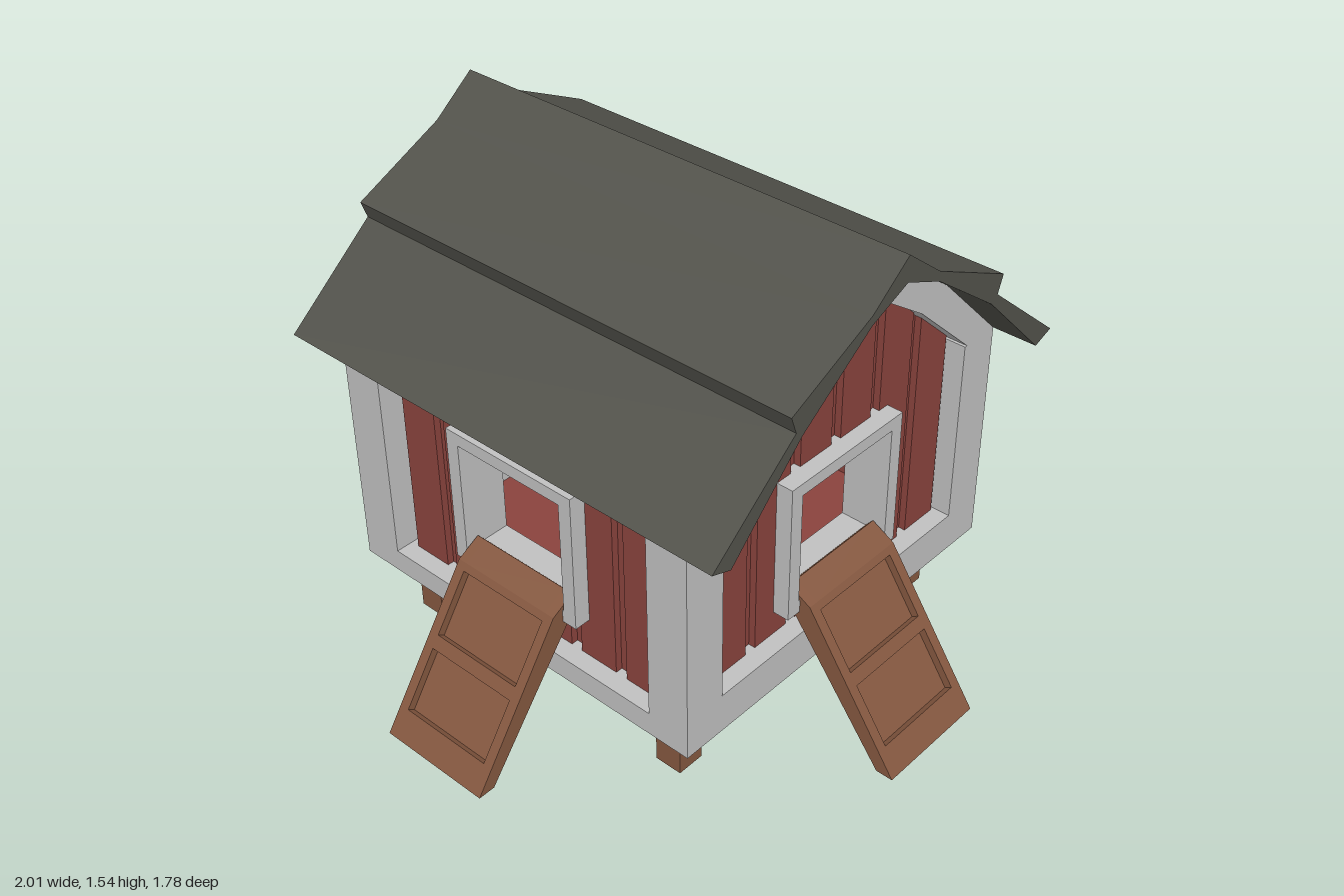
import * as THREE from 'three';

const flat = (name, color) => {
  const m = new THREE.MeshStandardMaterial({ color });
  m.name = name;
  return m;
};
const trimGrey = flat('trim grey', 0xc0c0c0);
const barnRed = flat('barn red', 0x8a433d);
const roofGrey = flat('roof grey', 0x52524b);
const rampBrown = flat('ramp brown', 0x855840);

const path = (pts, Type = THREE.Shape) => new Type(pts.map(p => new THREE.Vector2(p[0], p[1])));
const rect = (hw, y0, y1) => [[-hw, y0], [hw, y0], [hw, y1], [-hw, y1]];
// right half of an outline, bottom to top, mirrored into a closed loop
const mirrored = half => [...half, ...half.filter(p => p[0] > 0).reverse().map(([x, y]) => [-x, y])];

function add(parent, geometry, material, name) {
  const mesh = new THREE.Mesh(geometry, material);
  mesh.name = name;
  parent.add(mesh);
  return mesh;
}

// extruded outline with optional hole, spanning z0..z1
function slab(parent, name, material, outline, hole, z0, z1) {
  const shape = path(outline);
  if (hole) shape.holes.push(path(hole, THREE.Path));
  const geo = new THREE.ExtrudeGeometry(shape, { depth: z1 - z0, bevelEnabled: false });
  return add(parent, geo.translate(0, 0, z0), material, name);
}

// raised vertical boards, cut around the doorway
function boards(wall, hw, y0, topY, hasDoor) {
  const pitch = 0.173, gap = 0.04;
  const cuts = [-0.29, -0.22, 0, 0.22, 0.29];
  for (let start = -hw + 0.04; start < hw - 0.04; start += pitch) {
    const end = Math.min(start + pitch - gap, hw - 0.02);
    const xs = [start, ...cuts.filter(c => c > start && c < end), end];
    for (let i = 0; i + 1 < xs.length; i++) {
      const a = xs[i], b = xs[i + 1];
      const inDoor = hasDoor && Math.abs((a + b) / 2) < 0.22;
      const piece = (low, ta, tb) =>
        slab(wall, 'wallBoard', barnRed, [[a, low], [b, low], [b, tb], [a, ta]], null, -0.08, -0.058);
      if (inDoor) {
        piece(y0, 0.44, 0.44);
        piece(0.85, topY(a), topY(b));
      } else piece(y0, topY(a), topY(b));
    }
  }
}

// sloping ramp with two sunken panels, leaning out along +z
function addRamp(wall) {
  const ramp = new THREE.Group();
  ramp.name = 'ramp';
  const foot = 0.345, hw = 0.19, rail = 0.032, sunk = 0.026;
  // s runs up the slope, d goes into the thickness
  const p = (s, d) => [foot - 0.569 * s - 0.822 * d, 0.822 * s - 0.569 * d];
  const back = [[-0.07, 0.465], [foot - 0.055, 0]];
  const top = [[-0.045, 0.495], ...back];
  const strip = (name, profile, x0, x1) => {
    const geo = new THREE.ExtrudeGeometry(path(profile), { depth: x1 - x0, bevelEnabled: false });
    add(ramp, geo.rotateY(-Math.PI / 2).translate(x1, 0, 0), rampBrown, name);
  };
  const side = [[foot, 0], p(0.553, 0), ...top];
  strip('rampRail', side, -hw, -hw + rail);
  strip('rampRail', side, hw - rail, hw);
  const inner = hw - rail;
  const footIn = [foot - sunk / 0.822, 0];
  strip('rampPanel', [footIn, p(0.54, sunk), ...back], -inner, inner);
  strip('rampFootBar', [[foot, 0], p(0.091, 0), p(0.091, sunk), footIn], -inner, inner);
  strip('rampMiddleBar', [p(0.286, 0), p(0.328, 0), p(0.328, sunk), p(0.286, sunk)], -inner, inner);
  strip('rampTopBar', [p(0.529, 0), p(0.553, 0), ...top.slice(0, 2), p(0.529, sunk)], -inner, inner);
  wall.add(ramp);
}

// one wall facing +z, its outer face at z = 0
function makeWall(name, outer, inner, hw, y0, topY, hasDoor) {
  const wall = new THREE.Group();
  wall.name = name;
  const door = hasDoor ? rect(0.215, 0.44, 0.85) : null;
  slab(wall, 'wallTrim', trimGrey, outer, inner, -0.14, 0);
  slab(wall, 'wallPanel', barnRed, inner, door, -0.14, -0.08);
  boards(wall, hw, y0, topY, hasDoor);
  if (hasDoor) {
    slab(wall, 'doorFrame', trimGrey, rect(0.24, 0.42, 0.87), rect(0.195, 0.46, 0.83), -0.16, -0.005);
    addRamp(wall);
  }
  return wall;
}

export function createModel() {
  const model = new THREE.Group();
  model.name = 'coop';
  const midZ = -0.105;

  // gable walls
  const gableOuter = mirrored([[0.66, 0.21], [0.66, 0.95], [0.4, 1.21], [0.14, 1.4], [0, 1.46]]);
  const gableInner = mirrored([[0.53, 0.34], [0.53, 0.95], [0.29, 1.17], [0, 1.37]]);
  const gableTop = x => {
    const a = Math.abs(x);
    return a < 0.29 ? 1.37 - a * 0.69 : 1.17 - (a - 0.29) * 0.917;
  };
  const front = makeWall('frontWall', gableOuter, gableInner, 0.53, 0.34, gableTop, true);
  front.position.z = 0.55;
  const back = makeWall('backWall', gableOuter, gableInner, 0.53, 0.34, gableTop, false);
  back.position.z = -0.76;
  back.rotation.y = Math.PI;
  model.add(front, back);

  // side walls
  for (const s of [1, -1]) {
    const side = makeWall(s > 0 ? 'leftWall' : 'rightWall',
      rect(0.655, 0.21, 0.95), rect(0.527, 0.285, 0.9), 0.527, 0.285, () => 0.9, true);
    side.position.set(s * 0.66, 0, midZ);
    side.rotation.y = s * Math.PI / 2;
    model.add(side);
  }

  // floor
  add(model, new THREE.BoxGeometry(1.3, 0.05, 1.29), trimGrey, 'floorBase').position.set(0, 0.235, midZ);
  add(model, new THREE.BoxGeometry(1.06, 0.04, 1.05), barnRed, 'innerFloor').position.set(0, 0.28, midZ);

  // stepped roof
  const roofTop = [[0.66, 0.95], [0.73, 0.975], [0.425, 1.23], [0.445, 1.285], [0.14, 1.43], [0, 1.54]];
  const roofUnder = [[0, 1.46], [0.14, 1.4], [0.4, 1.21]];
  const flip = ([x, y]) => [-x, y];
  const roofLoop = [
    ...roofTop,
    ...roofTop.slice(0, -1).reverse().map(flip),
    ...roofUnder.slice(1).reverse().map(flip),
    ...roofUnder,
  ];
  slab(model, 'roof', roofGrey, roofLoop, null, -0.89, 0.695);

  // legs
  for (const x of [-0.52, 0.52])
    for (const z of [0.39, -0.602])
      add(model, new THREE.BoxGeometry(0.09, 0.22, 0.09), rampBrown, 'leg').position.set(x, 0.11, z);

  return model;
}
